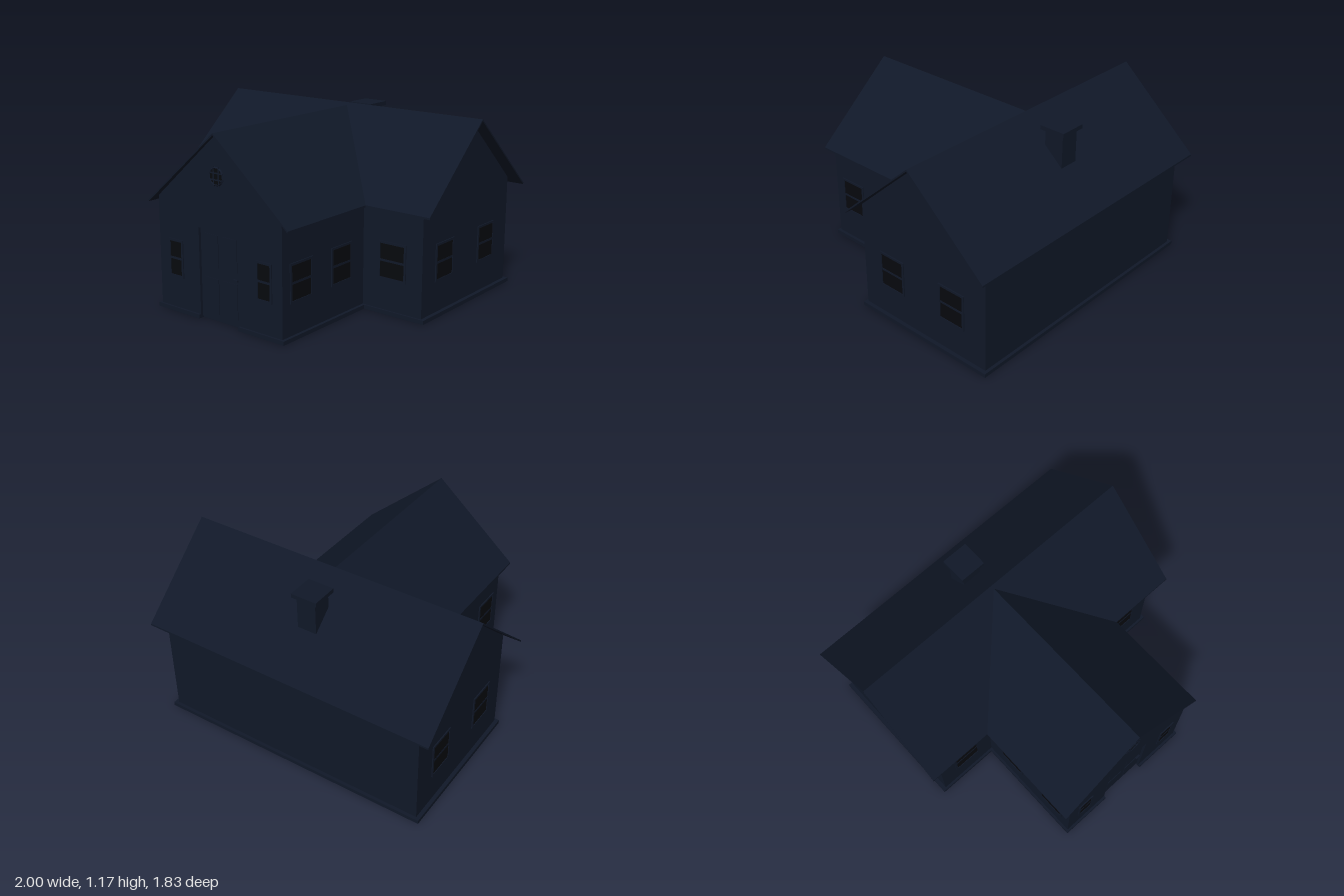
import * as THREE from 'three';

const navy = new THREE.MeshStandardMaterial({ color: 0x101828, flatShading: true });
const dark = new THREE.MeshStandardMaterial({ color: 0x07090e, flatShading: true });

const shapeOf = (points) => new THREE.Shape(points.map(([x, y]) => new THREE.Vector2(x, y)));
const extrude = (points, depth) =>
  new THREE.ExtrudeGeometry(shapeOf(points), { depth, bevelEnabled: false });

function add(parent, name, geometry, x = 0, y = 0, z = 0, material = navy) {
  const mesh = new THREE.Mesh(geometry, material);
  mesh.name = name;
  mesh.position.set(x, y, z);
  parent.add(mesh);
  return mesh;
}
const box = (parent, name, w, h, d, x, y, z, material) =>
  add(parent, name, new THREE.BoxGeometry(w, h, d), x, y, z, material);

// Thin folded roof profile: ridge at c, eaves at c +/- half
const chevron = (c, half, ridge, eave, t = 0.012) => [
  [c - half, eave - t], [c, ridge - t], [c + half, eave - t],
  [c + half, eave], [c, ridge], [c - half, eave],
];

// Window with a frame, a middle bar and set-back glass, facing +z
function makeWindow(width) {
  const g = new THREE.Group(), h = 0.24, f = 0.014;
  g.name = 'window';
  for (const s of [-1, 1]) {
    box(g, 'windowStile', f, h, 0.014, s * (width - f) / 2, 0, 0);
    box(g, 'windowRail', width - 2 * f, f, 0.014, 0, s * (h - f) / 2, 0);
  }
  box(g, 'windowBar', width - 2 * f, f, 0.01, 0, 0, 0);
  box(g, 'windowGlass', width - 2 * f, h - 2 * f, 0.006, 0, 0, 0, dark);
  return g;
}

export function createModel() {
  const house = new THREE.Group();
  house.name = 'house';

  // Plinth on a T plan, open at the doorway (plan y is -z)
  const plinth = extrude([
    [-0.935, 0.875], [-0.935, -0.145], [-0.515, -0.145], [-0.515, -0.905],
    [-0.165, -0.905], [-0.165, -0.865], [0.155, -0.865], [0.155, -0.905],
    [0.505, -0.905], [0.505, -0.145], [0.94, -0.145], [0.94, 0.875],
  ], 0.025);
  plinth.rotateX(-Math.PI / 2);
  add(house, 'plinth', plinth);

  // Main block: gabled walls run along x (profile x is -z)
  const mainWalls = extrude([
    [-0.13, 0], [0.855, 0], [0.855, 0.715], [0.357, 1.162], [-0.13, 0.725],
  ], 1.825);
  mainWalls.rotateY(Math.PI / 2);
  add(house, 'mainWalls', mainWalls, -0.91);

  const mainRoof = extrude(chevron(0.357, 0.556, 1.172, 0.68), 2);
  mainRoof.rotateY(Math.PI / 2);
  add(house, 'mainRoof', mainRoof, -1);

  // Front wing, with a front wall cut out for the recessed door
  const cx = -0.008, top = 1.145, sideTop = 0.712;
  add(house, 'wingWalls', extrude([
    [-0.5, 0], [0.485, 0], [0.485, sideTop], [cx, top], [-0.5, sideTop],
  ], 0.735), 0, 0, 0.13);
  add(house, 'wingFrontWall', extrude([
    [-0.5, 0], [-0.165, 0], [-0.165, 0.57], [0.155, 0.57], [0.155, 0],
    [0.485, 0], [0.485, sideTop], [cx, top], [-0.5, sideTop],
  ], 0.025), 0, 0, 0.865);

  // Wing roof: its rear edge slants back along the valleys to the main ridge
  const wingRoof = extrude(chevron(cx, 0.556, 1.156, 0.68), 0.915);
  const p = wingRoof.attributes.position;
  for (let i = 0; i < p.count; i++) {
    if (p.getZ(i) < 0.01) p.setZ(i, -0.34 + Math.abs(p.getX(i) - cx) * (0.54 / 0.556));
  }
  wingRoof.computeVertexNormals();
  add(house, 'wingRoof', wingRoof);

  // Door with raised panels and a handle
  const door = new THREE.Group();
  door.name = 'door';
  house.add(door);
  box(door, 'doorLeaf', 0.32, 0.56, 0.01, -0.005, 0.29, 0.868);
  for (const x of [-0.08, 0.07]) {
    box(door, 'doorPanel', 0.115, 0.22, 0.006, x, 0.16, 0.874);
    box(door, 'doorPanel', 0.115, 0.2, 0.006, x, 0.44, 0.874);
  }
  box(door, 'doorHandle', 0.03, 0.012, 0.014, 0.12, 0.295, 0.881);

  // Windows: [width, x, z, turn]
  const windows = [];
  for (const s of [-1, 1]) {
    windows.push([0.12, s * 0.355 - 0.005, 0.89, 0], [0.2, s * 0.7, 0.13, 0]);
    for (const z of [0.725, 0.35]) windows.push([0.2, s * 0.4925 + cx, z, s * Math.PI / 2]);
    for (const z of [-0.11, -0.595]) windows.push([0.2, s * 0.9125 + 0.0025, z, s * Math.PI / 2]);
  }
  for (const [w, x, z, turn] of windows) {
    const win = makeWindow(w);
    win.position.set(x, 0.34, z);
    win.rotation.y = turn;
    house.add(win);
  }

  // Round gable window with crossed bars
  const gable = new THREE.Group();
  gable.name = 'gableWindow';
  gable.position.set(cx, 0.9, 0.89);
  house.add(gable);
  const ring = add(gable, 'gableWindowRing', new THREE.TorusGeometry(0.052, 0.007, 4, 12));
  ring.rotation.z = Math.PI / 12;
  const pane = add(gable, 'gableWindowGlass', new THREE.CylinderGeometry(0.05, 0.05, 0.006, 12), 0, 0, 0, dark);
  pane.rotation.x = Math.PI / 2;
  for (const s of [-1, 1]) {
    box(gable, 'gableWindowBar', 0.008, 0.12, 0.01, s * 0.02, 0, 0);
    box(gable, 'gableWindowBar', 0.11, 0.008, 0.01, 0, s * 0.02, 0);
  }

  // Chimney on the rear slope
  box(house, 'chimneyShaft', 0.13, 0.3, 0.13, -0.024, 0.97, -0.597);
  box(house, 'chimneyCap', 0.175, 0.027, 0.175, -0.024, 1.133, -0.597);

  return house;
}
